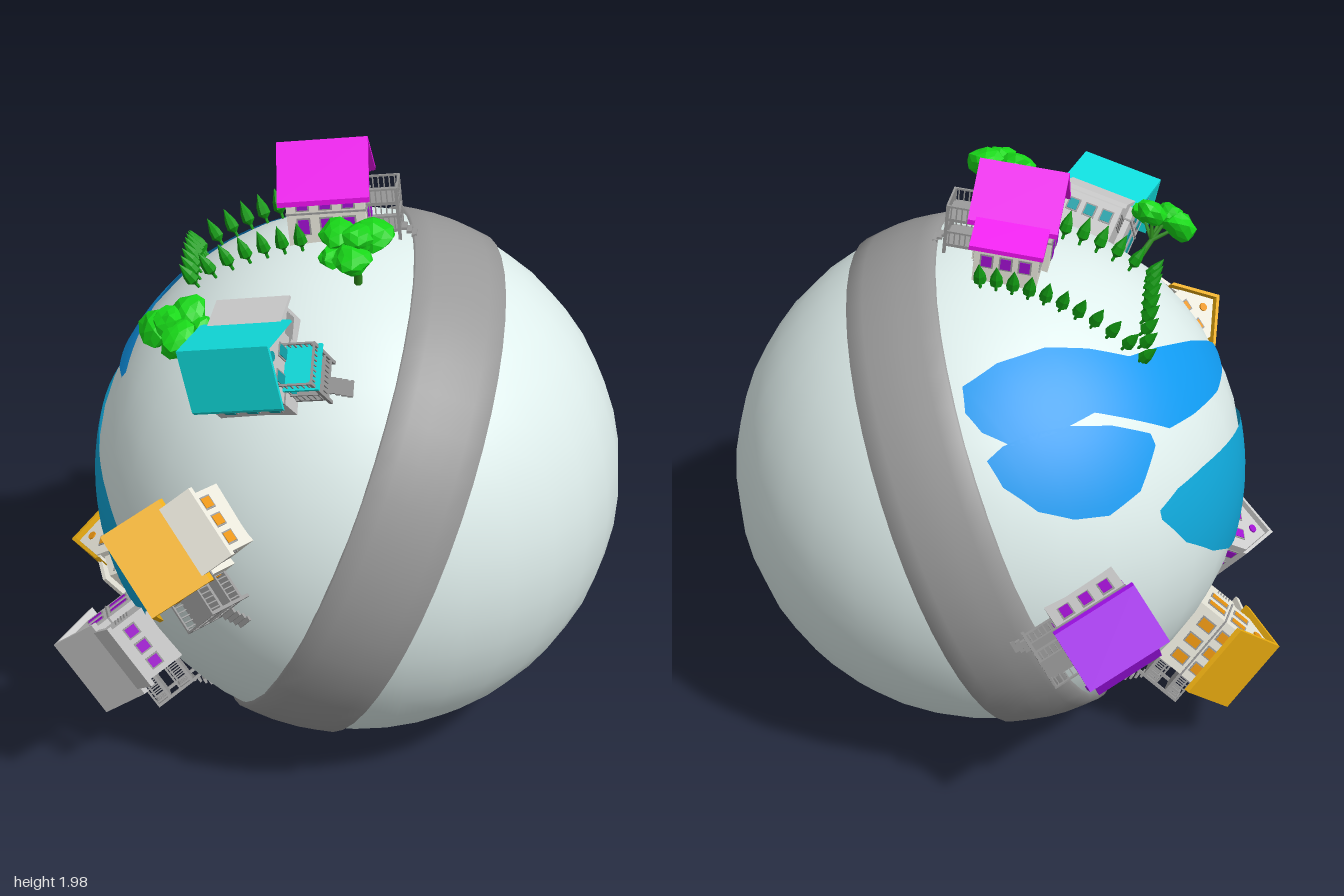
import * as THREE from 'three';

const CENTRE = new THREE.Vector3(0.035, 0.86, 0.13), R = 0.845;
const V = (x, y, z) => new THREE.Vector3(x, y, z);
const mat = (color, extra = {}) => new THREE.MeshStandardMaterial({ color, ...extra });
const GREY = mat(0xcccccc), DARK = mat(0x999999), CREAM = mat(0xe8e6da);
const TRUNK = mat(0x2c8a1c), LEAF = mat(0x18d818, { flatShading: true }), HEDGE = mat(0x129a12, { flatShading: true });

function add(parent, name, geometry, material, x = 0, y = 0, z = 0) {
  const m = new THREE.Mesh(geometry, material);
  m.name = name;
  m.position.set(x, y, z);
  parent.add(m);
  return m;
}
const box = (parent, name, material, w, h, d, x, y, z) =>
  add(parent, name, new THREE.BoxGeometry(w, h, d), material, x, y, z);

// Outline in xy, extruded along z and centred on z
function prism(parent, name, material, pts, depth, z = 0) {
  const shape = new THREE.Shape(pts.map(p => new THREE.Vector2(...p)));
  const g = new THREE.ExtrudeGeometry(shape, { depth, bevelEnabled: false });
  return add(parent, name, g, material, 0, 0, z - depth / 2);
}

// Stands an object on the globe: dir is its up, front its local +z
function stand(obj, dir, front = V(0.3, 0.2, 1)) {
  const up = dir.clone().normalize();
  const f = front.clone().addScaledVector(up, -front.dot(up)).normalize();
  const side = V(0, 0, 0).crossVectors(up, f);
  obj.quaternion.setFromRotationMatrix(new THREE.Matrix4().makeBasis(side, up, f));
  obj.position.copy(CENTRE).addScaledVector(up, R);
  return obj;
}

function rod(parent, name, material, a, b, r0, r1 = r0) {
  const d = b.clone().sub(a);
  const m = add(parent, name, new THREE.CylinderGeometry(r1, r0, d.length(), 6), material);
  m.position.copy(a).lerp(b, 0.5);
  m.quaternion.setFromUnitVectors(V(0, 1, 0), d.normalize());
}

function house(name, { wall, roof, glass, annex, porchRoof }) {
  const g = new THREE.Group();
  g.name = name;
  // Main block with gables, roof, and side annex
  prism(g, 'walls', wall, [[-0.1, -0.04], [0.1, -0.04], [0.1, 0.16], [0, 0.265], [-0.1, 0.16]], 0.24);
  prism(g, 'roof', roof, [[0, 0.285], [-0.135, 0.14], [-0.135, 0.124], [0, 0.267], [0.135, 0.124], [0.135, 0.14]], 0.28);
  prism(g, 'annexWalls', wall, [[0.09, -0.05], [0.2, -0.05], [0.2, 0.09], [0.09, 0.145]], 0.2);
  prism(g, 'annexRoof', annex, [[0.09, 0.167], [0.09, 0.152], [0.225, 0.088], [0.225, 0.102]], 0.23);
  box(g, 'floorBand', DARK, 0.206, 0.006, 0.246, 0, 0.086, 0);
  // Windows: long wall, annex wall, and both gables
  const sideWindow = (x, y, z, h) => {
    box(g, 'windowFrame', DARK, 0.006, h + 0.01, 0.042, x, y, z);
    box(g, 'window', glass, 0.01, h, 0.032, x, y, z);
  };
  const endWindow = (x, y, z, w, h) => {
    box(g, 'windowFrame', DARK, w + 0.01, h + 0.01, 0.006, x, y, z);
    box(g, 'window', glass, w, h, 0.01, x, y, z);
  };
  for (const z of [-0.07, 0, 0.07]) {
    sideWindow(-0.1, 0.045, z, 0.045);
    sideWindow(-0.1, 0.122, z, 0.045);
    sideWindow(0.2, 0.045, z * 0.85, 0.035);
  }
  for (const s of [-1, 1]) {
    for (const x of [-0.04, 0.04]) {
      endWindow(x, 0.13, s * 0.12, 0.032, 0.05);
      endWindow(x, 0.04, s * 0.12, 0.032, 0.06);
    }
    const attic = add(g, 'atticWindow', new THREE.CylinderGeometry(0.015, 0.015, 0.01, 12), glass, 0, 0.205, s * 0.12);
    attic.rotation.x = Math.PI / 2;
    for (let i = 0; i < 5; i++) box(g, 'annexSlat', DARK, 0.07, 0.004, 0.008, 0.15, 0.03 + i * 0.011, s * 0.1);
  }
  // Front porch with balcony, posts, railings and steps
  const porch = new THREE.Group();
  porch.name = 'porch';
  g.add(porch);
  for (const y of [0.0, 0.088]) {
    box(porch, 'deck', DARK, 0.13, 0.01, 0.1, 0, y, 0.17);
    box(porch, 'handrail', DARK, 0.13, 0.006, 0.006, 0, y + 0.045, 0.217);
    for (const s of [-1, 1]) box(porch, 'handrail', DARK, 0.006, 0.006, 0.1, s * 0.062, y + 0.045, 0.17);
    for (let i = 0; i <= 8; i++) box(porch, 'baluster', DARK, 0.004, 0.045, 0.004, -0.062 + i * 0.0155, y + 0.023, 0.217);
    for (const s of [-1, 1]) for (let i = 0; i < 5; i++)
      box(porch, 'baluster', DARK, 0.004, 0.045, 0.004, s * 0.062, y + 0.023, 0.135 + i * 0.017);
  }
  for (const s of [-1, 1]) box(porch, 'post', DARK, 0.01, 0.19, 0.01, s * 0.06, 0.04, 0.215);
  for (let i = 0; i < 4; i++) box(porch, 'step', DARK, 0.05, 0.008, 0.016, -0.02, -0.005 - i * 0.012, 0.228 + i * 0.014);
  if (porchRoof) box(porch, 'porchRoof', roof, 0.14, 0.01, 0.11, 0, 0.1, 0.175);
  return g;
}

function tree(name, turn) {
  const g = new THREE.Group(), t = new THREE.Group();
  g.name = name;
  t.rotation.y = turn;
  g.add(t);
  rod(t, 'trunk', TRUNK, V(0, -0.02, 0), V(0, 0.09, 0), 0.014, 0.009);
  // Flattened leaf clumps, each on its own branch
  for (const [x, y, z, r] of [[0.05, 0.17, 0.0, 0.062], [-0.045, 0.15, 0.04, 0.056], [-0.03, 0.165, -0.055, 0.058], [0.0, 0.185, 0.0, 0.05], [-0.08, 0.135, -0.01, 0.04]]) {
    rod(t, 'branch', TRUNK, V(0, 0.08, 0), V(x, y, z), 0.008, 0.005);
    const geo = new THREE.IcosahedronGeometry(r, 1), p = geo.attributes.position;
    for (let i = 0; i < p.count; i++) {
      const k = 1 + 0.12 * Math.sin(p.getX(i) * 130 + p.getY(i) * 90 + p.getZ(i) * 110 + x * 50);
      p.setXYZ(i, p.getX(i) * k, p.getY(i) * k * 0.7, p.getZ(i) * k);
    }
    geo.computeVertexNormals();
    add(t, 'leaves', geo, LEAF, x, y, z);
  }
  return g;
}

// Water patch hugging the globe, lofted from [s, top, bottom] cuts seen along one axis
function lake(name, color, cuts) {
  const axis = V(-0.612, 0.5, -0.612), right = V(-0.707, 0, 0.707), up = V(0.354, 0.866, 0.354);
  const pos = [], index = [], N = 10, SUB = 4, r = 0.853;
  const rows = [];
  cuts.forEach((c, i) => {
    const n = cuts[i + 1];
    if (!n) return rows.push(c);
    for (let k = 0; k < SUB; k++) rows.push(c.map((v, j) => v + (n[j] - v) * k / SUB));
  });
  rows.forEach(([s, top, bottom], i) => {
    for (let j = 0; j <= N; j++) {
      const v = bottom + (top - bottom) * j / N;
      const p = CENTRE.clone().addScaledVector(right, s).addScaledVector(up, v)
        .addScaledVector(axis, Math.sqrt(Math.max(0, r * r - s * s - v * v)));
      pos.push(p.x, p.y, p.z);
      if (i && j) {
        const b = i * (N + 1) + j, a = b - N - 1;
        index.push(a - 1, b - 1, b, a - 1, b, a);
      }
    }
  });
  const g = new THREE.BufferGeometry();
  g.setAttribute('position', new THREE.Float32BufferAttribute(pos, 3));
  g.setIndex(index);
  g.computeVertexNormals();
  const m = new THREE.Mesh(g, mat(color, { side: THREE.DoubleSide }));
  m.name = name;
  return m;
}

export function createModel() {
  const model = new THREE.Group();
  model.name = 'tinyPlanet';
  add(model, 'globe', new THREE.SphereGeometry(R, 32, 24), mat(0xdfeeec), ...CENTRE.toArray());

  // Road ring, slightly domed across its width
  const profile = [[0.82, -0.15], [0.846, -0.147], [0.854, -0.09], [0.86, -0.03], [0.86, 0.03], [0.854, 0.09], [0.846, 0.147], [0.82, 0.15]];
  const road = add(model, 'road', new THREE.LatheGeometry(profile.map(p => new THREE.Vector2(...p)), 48),
    mat(0x999999, { side: THREE.DoubleSide }), ...CENTRE.toArray());
  road.quaternion.setFromUnitVectors(V(0, 1, 0), V(0.926, -0.359, 0.12).normalize());

  // Lakes
  model.add(
    lake('upperLake', 0x109af0, [[-0.51, 0.34, 0.27], [-0.47, 0.41, 0.2], [-0.36, 0.43, 0.18], [-0.22, 0.41, 0.18], [-0.11, 0.35, 0.1], [0.0, 0.27, 0.02], [0.13, 0.245, 0.01], [0.33, 0.19, 0.01], [0.47, 0.14, 0.04], [0.54, 0.11, 0.08]]),
    lake('upperLakeBay', 0x109af0, [[-0.54, 0.19, 0.1], [-0.49, 0.21, -0.01], [-0.41, 0.21, -0.08], [-0.31, 0.18, -0.12], [-0.19, 0.12, -0.1], [-0.08, 0.04, 0.0]]),
    lake('lowerLake', 0x0fa6d8, [[-0.14, -0.19, -0.22], [-0.05, -0.16, -0.34], [0.1, -0.15, -0.44], [0.25, -0.15, -0.5], [0.42, -0.15, -0.52], [0.58, -0.15, -0.51], [0.72, -0.16, -0.45], [0.8, -0.19, -0.29]]));

  // Houses around the globe
  const roofs = { magenta: mat(0xf010f0), cyan: mat(0x10dede), gold: mat(0xeaac10), purple: mat(0xa010e8) };
  const violet = mat(0xa010d0), orange = mat(0xe89410), teal = mat(0x10a0a8);
  const H = (name, opts, dir, front) => model.add(stand(house(name, opts), V(...dir), V(...front)));
  H('magentaHouse', { wall: CREAM, roof: roofs.magenta, glass: violet, annex: roofs.magenta }, [-0.1, 1, -0.04], [0.966, 0, 0.259]);
  H('cyanHouse', { wall: GREY, roof: roofs.cyan, glass: teal, annex: GREY, porchRoof: true }, [-0.43, 0.65, 0.53], [0.85, 0.21, 0.45]);
  H('yellowHouse', { wall: CREAM, roof: roofs.gold, glass: orange, annex: CREAM }, [-0.72, 0.12, 0.67], [0.5, -0.72, 0.65]);
  H('greyHouse', { wall: GREY, roof: GREY, glass: violet, annex: GREY }, [-0.78, -0.47, 0.18], [0.55, -0.7, 0.3]);
  H('purpleHouse', { wall: GREY, roof: roofs.purple, glass: violet, annex: roofs.purple }, [-0.29, -0.02, -0.95], [0.85, -0.4, -0.25]);
  H('goldHouse', { wall: CREAM, roof: roofs.gold, glass: orange, annex: CREAM }, [-0.73, -0.5, -0.43], [0.6, -0.75, -0.1]);

  // Trees
  model.add(stand(tree('frontTree', 0), V(-0.06, 0.8, 0.29)));
  model.add(stand(tree('leftTree', 2.2), V(-0.63, 0.73, 0.34)));

  // Garden hedge of pointed shrubs along three sides
  const shrub = new THREE.LatheGeometry([[0, -0.01], [0.005, 0], [0.005, 0.015], [0.021, 0.03], [0.018, 0.055], [0, 0.1]].map(p => new THREE.Vector2(...p)), 7);
  const corners = [[0.08, -0.12], [-0.42, -0.29], [-0.5, 0.12], [-0.17, 0.22]];
  [11, 9, 7].forEach((n, k) => {
    const [a, b] = [corners[k], corners[k + 1]];
    for (let i = k ? 1 : 0; i < n; i++) {
      const t = i / (n - 1);
      const x = a[0] + (b[0] - a[0]) * t - CENTRE.x, z = a[1] + (b[1] - a[1]) * t - CENTRE.z;
      stand(add(model, 'hedgeShrub', shrub, HEDGE), V(x, Math.sqrt(0.81 - x * x - z * z), z));
    }
  });
  return model;
}
